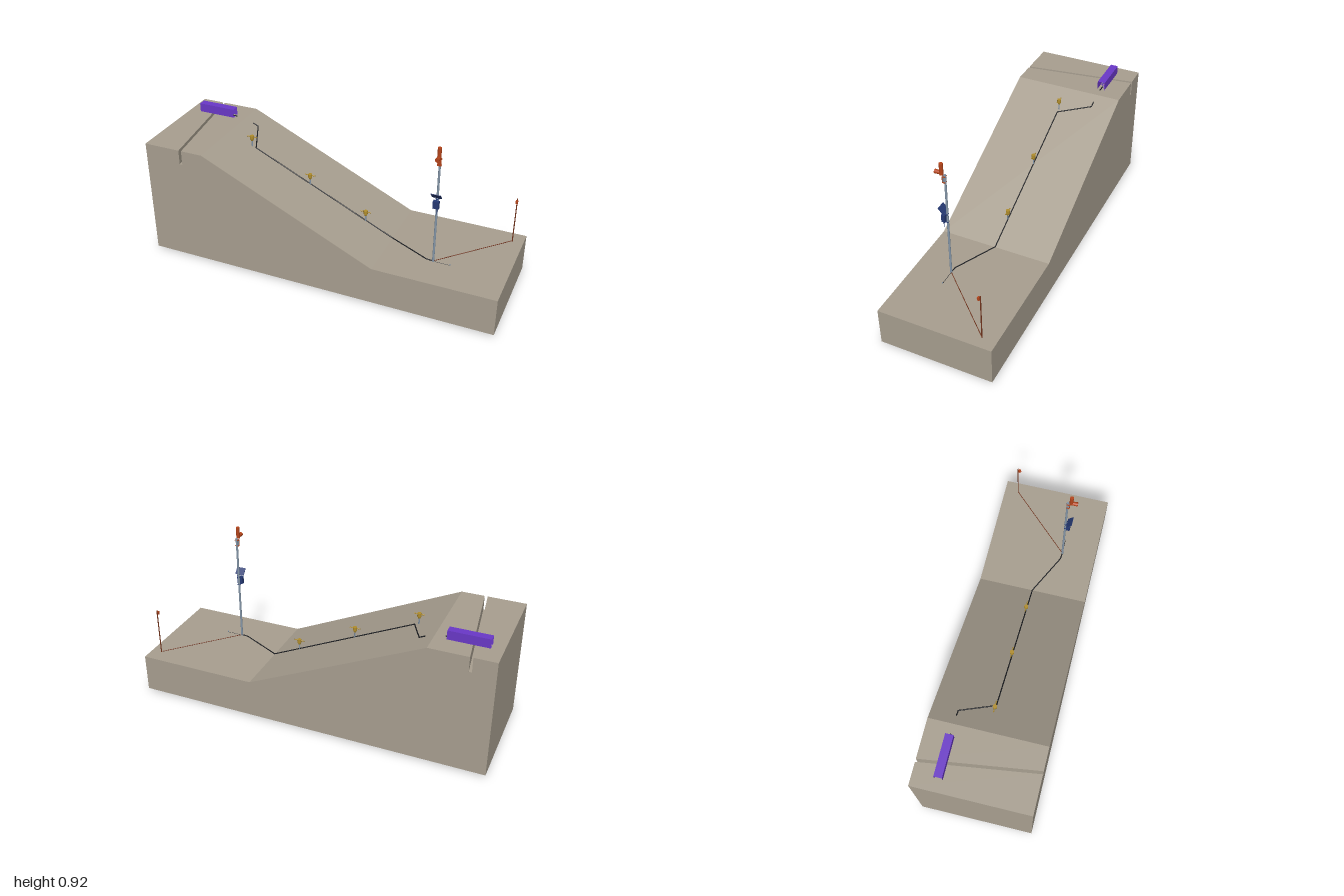
import * as THREE from 'three';

const mat = (color, side = THREE.FrontSide) => new THREE.MeshStandardMaterial({ color, side });
const M = {
  earth: mat(0xa89f90), steel: mat(0x8496a8), black: mat(0x1c1e22), gold: mat(0xb08d2c),
  orange: mat(0xb5451b), blue: mat(0x263a75), brown: mat(0x74341c),
  purple: mat(0x6a38c8), cover: mat(0x6a38c8, THREE.DoubleSide),
};
const V = (x, y, z) => new THREE.Vector3(x, y, z);

function add(parent, name, geo, material, x = 0, y = 0, z = 0) {
  const m = new THREE.Mesh(geo, material);
  m.name = name;
  m.position.set(x, y, z);
  parent.add(m);
  return m;
}
const box = (p, name, m, w, h, d, x, y, z) => add(p, name, new THREE.BoxGeometry(w, h, d), m, x, y, z);

// Round bar between two points
function rod(p, name, m, a, b, r, sides = 12, r2 = r) {
  const mesh = add(p, name, new THREE.CylinderGeometry(r2, r, a.distanceTo(b), sides), m);
  mesh.position.copy(a).lerp(b, 0.5);
  mesh.quaternion.setFromUnitVectors(V(0, 1, 0), b.clone().sub(a).normalize());
  return mesh;
}
function cable(p, name, m, pts, r) {
  const g = new THREE.Group();
  g.name = name;
  for (let i = 1; i < pts.length; i++) {
    rod(g, name + 'Run', m, pts[i - 1], pts[i], r, 8);
    if (i > 1) add(g, name + 'Bend', new THREE.SphereGeometry(r, 8, 6), m, ...pts[i - 1].toArray());
  }
  p.add(g);
}
function group(parent, name, x, y, z) {
  const g = new THREE.Group();
  g.name = name;
  g.position.set(x, y, z);
  parent.add(g);
  return g;
}

const TOP = 0.685, LOW = 0.228, CREST = -0.65, TOE = 0.33, HALF = 0.313;
const ground = x => TOP + (LOW - TOP) * THREE.MathUtils.clamp((x - CREST) / (TOE - CREST), 0, 1);

// Hillside block with an open crack running obliquely across the crest
function terrain(root) {
  const cx = -0.827, w = 0.008, floor = 0.602;
  const s = new THREE.Shape([
    [-1, 0.012], [1, 0.012], [1, LOW], [TOE, LOW], [CREST, TOP],
    [cx + w, TOP], [cx + w, floor], [cx - w, floor], [cx - w, TOP], [-1, TOP],
  ].map(p => new THREE.Vector2(...p)));
  const geo = new THREE.ExtrudeGeometry(s, { depth: 2 * HALF, bevelEnabled: false });
  geo.translate(0, 0, -HALF);
  const pos = geo.attributes.position;
  for (let i = 0; i < pos.count; i++) {
    const x = pos.getX(i);
    if (Math.abs(x - cx) < 0.02) pos.setX(i, x + 0.044 * pos.getZ(i) / HALF);
  }
  geo.computeVertexNormals();
  add(root, 'hillside', geo, M.earth);
}

// Crack gauge under an open-ended cover
function crackGauge(root) {
  const g = group(root, 'crackGauge', -0.825, TOP, -0.178);
  const shell = new THREE.CylinderGeometry(Math.SQRT1_2, Math.SQRT1_2, 1, 4, 1, true).toNonIndexed();
  shell.rotateY(Math.PI / 4).rotateZ(Math.PI / 2).scale(0.22, 0.05, 0.043);
  shell.computeVertexNormals();
  add(g, 'gaugeCover', shell, M.cover, 0, 0.025, 0);
  for (const x of [-0.08, 0.08])
    rod(g, 'gaugePost', M.steel, V(x, -0.01, 0.002), V(x, 0.04, 0.002), 0.002);
  rod(g, 'gaugeBar', M.purple, V(-0.08, 0.02, 0.002), V(0.085, 0.02, 0.002), 0.005);
  rod(g, 'gaugeLead', M.black, V(0.08, 0.004, 0), V(0.122, 0.004, 0), 0.003);
}

// Tilt sensor on a stake
function slopeSensor(root, x) {
  const g = group(root, 'slopeSensor', x, ground(x), 0);
  rod(g, 'sensorStake', M.steel, V(0, -0.02, 0), V(0, 0.035, 0), 0.004);
  rod(g, 'sensorNeck', M.gold, V(0, 0.033, 0), V(0, 0.044, 0), 0.006, 16, 0.0095);
  rod(g, 'sensorHead', M.gold, V(0, 0.044, 0), V(0, 0.064, 0), 0.0112, 20);
  rod(g, 'sensorArm', M.gold, V(-0.03, 0.057, 0), V(0.03, 0.057, 0), 0.0028, 8);
}

// Warning mast with siren, solar panel and control box
function mast(root) {
  const g = group(root, 'warningMast', 0.603, 0, 0.118);
  rod(g, 'mastPole', M.steel, V(0, LOW - 0.01, 0), V(0, 0.855, 0), 0.0058, 20);
  // siren
  box(g, 'sirenPlate', M.steel, 0.014, 0.04, 0.006, 0, 0.828, 0.008);
  for (const y of [0.81, 0.844]) box(g, 'sirenClamp', M.orange, 0.02, 0.004, 0.016, 0, y, 0.004);
  box(g, 'sirenBracket', M.orange, 0.02, 0.038, 0.002, 0, 0.827, 0.012);
  rod(g, 'sirenBody', M.orange, V(0, 0.85, 0.019), V(0, 0.915, 0.019), 0.0102, 24);
  rod(g, 'sirenHorn', M.orange, V(0, 0.86, 0.019), V(0, 0.86, 0.054), 0.0095, 24, 0.0115);
  // solar panel on its struts
  const panel = box(g, 'solarPanel', M.blue, 0.053, 0.003, 0.043, 0, 0.641, 0.023);
  panel.rotation.x = -0.87;
  for (const x of [-0.012, 0.012])
    rod(g, 'panelStrut', M.blue, V(x, 0.616, 0.003), V(x, 0.638, 0.02), 0.0015, 8);
  // control box
  box(g, 'controlBox', M.blue, 0.032, 0.042, 0.019, 0, 0.589, 0.0185);
  for (const y of [0.567, 0.615]) box(g, 'boxBracket', M.blue, 0.016, 0.004, 0.016, 0, y, 0.003);
  rod(g, 'antenna', M.blue, V(0.007, 0.534, 0.0185), V(0.007, 0.57, 0.0185), 0.002, 8);
}

// Post with a small gauge head
function farPost(root) {
  const g = group(root, 'farPost', 0.94, 0, -0.233);
  rod(g, 'post', M.brown, V(0, LOW - 0.01, 0), V(0, 0.5, 0), 0.003);
  box(g, 'postHead', M.orange, 0.012, 0.018, 0.012, 0, 0.482, 0.009);
  rod(g, 'postButton', M.orange, V(0, 0.482, 0.014), V(0, 0.482, 0.019), 0.003);
}

export function createModel() {
  const root = new THREE.Group();
  root.name = 'slopeMonitoringSite';
  terrain(root);
  crackGauge(root);
  for (const x of [-0.513, -0.16, 0.172]) slopeSensor(root, x);
  mast(root);
  farPost(root);

  // Surface cables following the ground
  const lay = (x, z) => V(x, ground(x) + 0.003, z);
  cable(root, 'mainCable', M.black, [lay(-0.6, -0.178), lay(-0.57, -0.178), lay(-0.49, 0),
    lay(TOE, 0), lay(0.565, 0.115), lay(0.603, 0.118)], 0.0032);
  cable(root, 'postCable', M.brown, [lay(0.603, 0.118), lay(0.94, -0.233)], 0.002);

  // Earthing spike and its lead
  rod(root, 'earthSpike', M.steel, V(0.695, 0, 0.118), V(0.695, 0.236, 0.118), 0.002, 8);
  cable(root, 'earthLead', M.black, [V(0.603, LOW, 0.118), V(0.695, LOW, 0.118)], 0.0012);
  return root;
}
